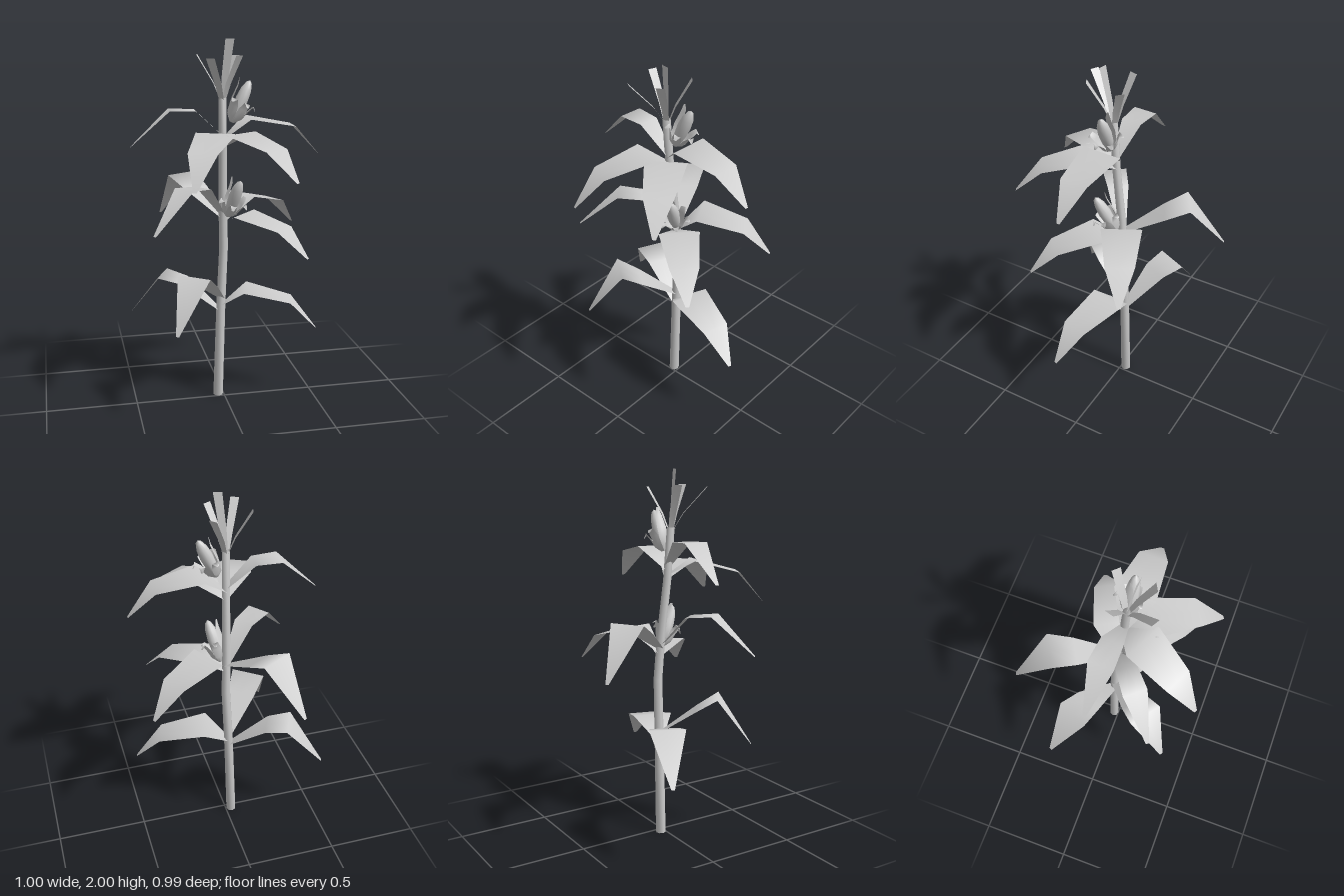
import * as THREE from 'three';

const V = (a) => new THREE.Vector3(...a);
const solid = new THREE.MeshStandardMaterial({ color: 0xcccccc });
const blade = new THREE.MeshStandardMaterial({ color: 0xcccccc, side: THREE.DoubleSide });

function add(parent, name, geometry, material) {
  const mesh = new THREE.Mesh(geometry, material);
  mesh.name = name;
  parent.add(mesh);
}

function surface(pos, index) {
  const g = new THREE.BufferGeometry();
  g.setAttribute('position', new THREE.Float32BufferAttribute(pos, 3));
  g.setIndex(index);
  g.computeVertexNormals();
  return g;
}

// Strip of three columns along a list of points; lift raises the middle column
function ribbon(points, halfWidths, side, lift = new THREE.Vector3()) {
  const pos = [], index = [];
  points.forEach((p, i) => {
    for (const k of [-1, 0, 1]) {
      const q = p.clone().addScaledVector(side, k * halfWidths[i]);
      if (k === 0) q.addScaledVector(lift, halfWidths[i]);
      pos.push(q.x, q.y, q.z);
    }
  });
  for (let i = 0; i < points.length - 1; i++) {
    for (let k = 0; k < 2; k++) {
      const a = i * 3 + k, b = a + 3;
      index.push(a, a + 1, b, a + 1, b + 1, b);
    }
  }
  return surface(pos, index);
}

// Horizontal direction across a blade running from a to b
const across = (a, b) => new THREE.Vector3(b.z - a.z, 0, a.x - b.x).normalize();

// Centre line of the slightly bent stem
const stemPath = [
  [-0.032, 0, -0.027], [-0.015, 0.55, -0.027], [0, 0.88, -0.025],
  [-0.008, 1.12, -0.01], [-0.015, 1.42, 0.024], [-0.02, 1.7, 0.043],
].map(V);

function stemAt(y) {
  const i = stemPath.findIndex((p) => p.y > y);
  const a = stemPath[i - 1], b = stemPath[i];
  return a.clone().lerp(b, (y - a.y) / (b.y - a.y));
}

// Tapering eight-sided stem with closed ends
function stemGeometry() {
  const sides = 8, pos = [], index = [];
  for (const p of stemPath) {
    const r = 0.028 - 0.004 * p.y;
    for (let s = 0; s < sides; s++) {
      const a = (s / sides) * Math.PI * 2;
      pos.push(p.x + r * Math.sin(a), p.y, p.z + r * Math.cos(a));
    }
  }
  const top = (stemPath.length - 1) * sides;
  for (let i = 0; i < top; i += sides) {
    for (let s = 0; s < sides; s++) {
      const a = i + s, b = i + (s + 1) % sides;
      index.push(a, b, a + sides, b, b + sides, a + sides);
    }
  }
  for (let s = 1; s < sides - 1; s++) {
    index.push(0, s + 1, s, top, top + s, top + s + 1);
  }
  return surface(pos, index);
}

// Leaf habits: where shoulder and bend lie between root and tip, and their half widths
const habits = {
  spreading: { at: [0.255, 0.73], width: [0.109, 0.077] },
  arching: { at: [0.4, 0.635], width: [0.078, 0.096] },
  slim: { at: [0.3, 0.58], width: [0.057, 0.066] },
};

// Leaf growing from the stem at rootY, over shoulder and bend heights, down to its tip
function leafGeometry(habit, rootY, shoulderY, bendY, tip) {
  const { at, width } = habits[habit];
  const root = stemAt(rootY), end = V(tip);
  const shoulder = root.clone().lerp(end, at[0]).setY(shoulderY);
  const bend = root.clone().lerp(end, at[1]).setY(bendY);
  return ribbon([root, shoulder, bend, end], [0.022, ...width, 0.009], across(root, end));
}

// Husk leaf outlines as radius and share of the cob's length
const curled = [[0.01, 0], [0.036, 0.14], [0.05, 0.34], [0.07, 0.5], [0.088, 0.42]];
const upright = [[0.01, 0], [0.038, 0.2], [0.046, 0.5], [0.046, 0.8], [0.056, 0.97]];

// Ear: smooth pointed cob wrapped by husk leaves, most of them curling outward
function ear(base, tip, spin) {
  const group = new THREE.Group();
  group.name = 'ear';
  const axis = V(tip).sub(V(base));
  const L = axis.length();
  const profile = [[0, 0], [0.02, 0.08], [0.03, 0.3], [0.034, 0.55], [0.029, 0.78], [0.016, 0.94], [0, 1]]
    .map(([r, t]) => new THREE.Vector2(r, t * L));
  add(group, 'cob', new THREE.LatheGeometry(profile, 12), solid);
  for (let i = 0; i < 6; i++) {
    const a = spin + (i / 6) * Math.PI * 2;
    const out = new THREE.Vector3(Math.cos(a), 0, Math.sin(a));
    const side = new THREE.Vector3(-out.z, 0, out.x);
    const pts = (i === 3 ? upright : curled)
      .map(([r, t]) => out.clone().multiplyScalar(r).setY(t * L));
    const husk = ribbon(pts, [0.008, 0.023, 0.025, 0.018, 0.006], side, out.clone().multiplyScalar(0.3));
    add(group, 'huskLeaf', husk, blade);
  }
  group.position.copy(V(base));
  group.quaternion.setFromUnitVectors(new THREE.Vector3(0, 1, 0), axis.normalize());
  return group;
}

export function createModel() {
  const plant = new THREE.Group();
  plant.name = 'cornPlant';
  add(plant, 'stem', stemGeometry(), solid);

  // Leaves in three tiers, lowest first
  const leaves = [
    ['spreading', 0.54, 0.645, 0.585, [0.495, 0.42, 0.12]],
    ['arching', 0.51, 0.67, 0.7, [-0.5, 0.45, -0.25]],
    ['arching', 0.58, 0.72, 0.795, [-0.322, 0.53, 0.374]],

    ['arching', 1.05, 1.175, 1.24, [-0.284, 0.975, -0.496]],
    ['slim', 1.06, 1.235, 1.25, [-0.42, 1.045, 0.308]],
    ['spreading', 1.02, 1.085, 1.03, [0.372, 0.89, 0.335]],
    ['spreading', 1.03, 1.16, 1.1, [0.45, 0.945, -0.256]],

    ['slim', 1.5, 1.635, 1.64, [-0.5, 1.45, 0.002]],
    ['spreading', 1.45, 1.53, 1.465, [-0.246, 1.3, 0.49]],
    ['spreading', 1.44, 1.525, 1.465, [0.272, 1.32, 0.465]],
    ['spreading', 1.48, 1.595, 1.55, [0.5, 1.395, 0.05]],
  ];
  for (const leaf of leaves) add(plant, 'leaf', leafGeometry(...leaf), blade);

  // Tassel: narrow strips fanning out of the stem top, the last one upright
  const crown = stemAt(1.66);
  const strips = [[-0.147, 1.92, 0.003], [0.07, 1.91, -0.045], [-0.115, 1.91, 0.208], [0.045, 1.92, 0.158], [0.01, 2, 0.085]];
  strips.forEach((s, i) => {
    const tip = V(s);
    const mid = crown.clone().lerp(tip, 0.35);
    mid.y += 0.025;
    const side = i === 4 ? V([0.98, 0, 0.2]) : across(crown, tip);
    add(plant, 'tasselStrip', ribbon([crown, mid, tip], [0.012, 0.018, 0.023], side), blade);
  });

  // Two ears growing beside the stem
  plant.add(ear([0.03, 1.57, 0.035], [0.13, 1.785, 0.03], 0.2));
  plant.add(ear([0.015, 1.06, 0.01], [0.065, 1.27, 0.11], 0.7));
  return plant;
}
